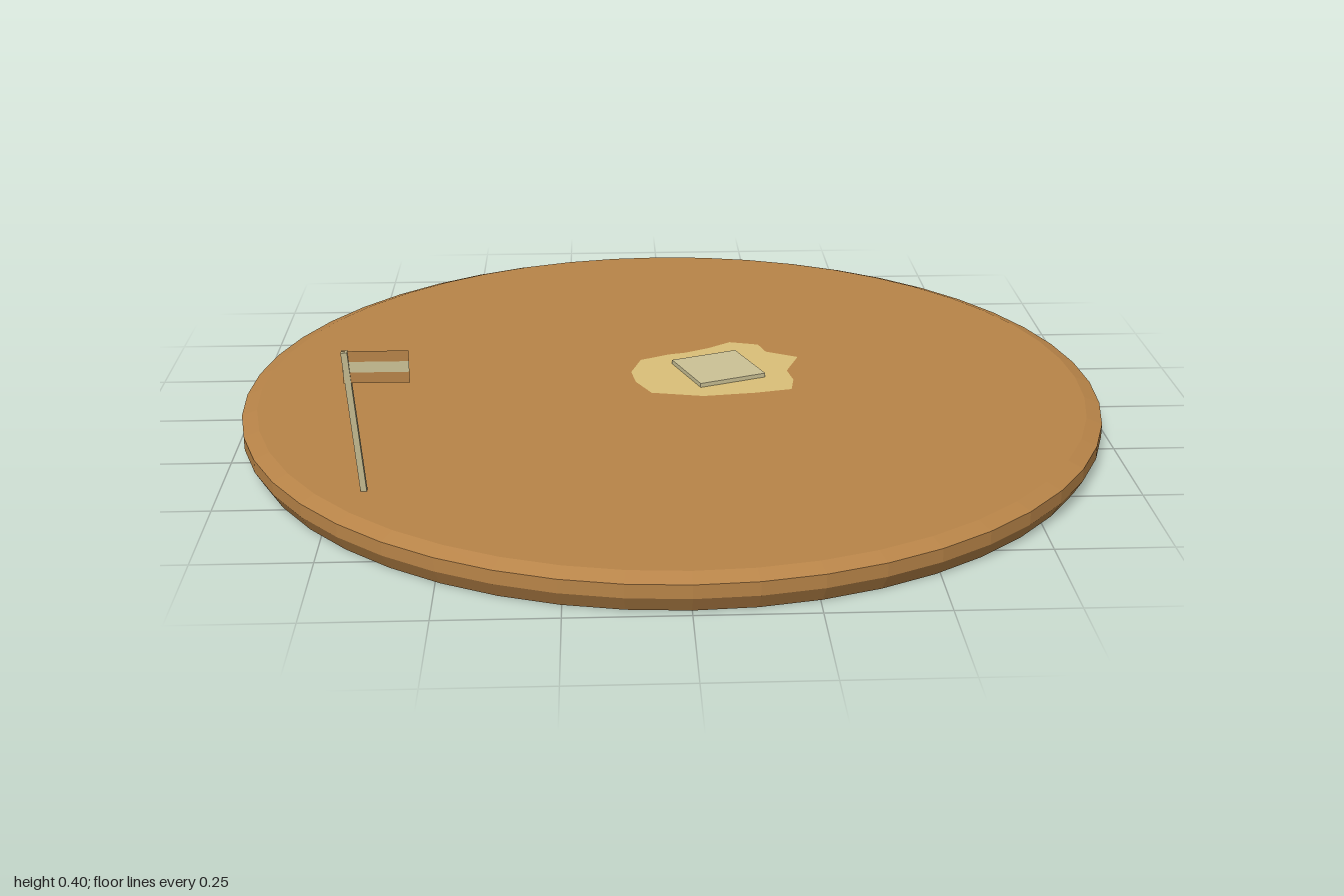
import * as THREE from 'three';

const paint = (name, color) =>
  Object.assign(new THREE.MeshStandardMaterial({ color, side: THREE.DoubleSide, flatShading: true }), { name });

export function createModel() {
  const earth = paint('earth brown', 0xb88448);
  const sand = paint('dry sand', 0xdbc078);
  const stone = paint('pale stone', 0xccc296);

  const model = new THREE.Group();
  const add = (name, geometry, material, parent = model) => {
    const mesh = new THREE.Mesh(geometry, material);
    mesh.name = name;
    parent.add(mesh);
    return mesh;
  };
  const top = 0.077;

  // Round ground shell with a bevelled rim, open underneath
  const profile = [[0.98, 0], [1, 0.035], [1, 0.065], [0.965, top], [0, top]];
  add('groundDisc', new THREE.LatheGeometry(profile.map(p => new THREE.Vector2(...p)), 48), earth);

  // Irregular sandy patch, outline as x, z
  const outline = [
    [0, -0.19], [0.04, -0.2], [0.1, -0.23], [0.155, -0.27], [0.225, -0.25], [0.24, -0.2],
    [0.315, -0.16], [0.28, -0.07], [0.29, -0.01], [0.28, 0.05], [0.19, 0.07], [0.07, 0.085],
    [-0.05, 0.06], [-0.085, -0.01], [-0.095, -0.075], [-0.07, -0.155],
  ];
  const patch = new THREE.ShapeGeometry(new THREE.Shape(outline.map(([x, z]) => new THREE.Vector2(x, -z))));
  patch.rotateX(-Math.PI / 2);
  add('sandPatch', patch, sand).position.y = top + 0.001;

  // Square stone slab lying on the patch
  const slab = add('stoneSlab', new THREE.BoxGeometry(0.169, 0.01, 0.169), stone);
  slab.position.set(0.115, 0.083, -0.078);
  slab.rotation.y = 0.37;

  // Leaning flag pole, its foot just through the ground
  const flag = new THREE.Group();
  flag.name = 'flag';
  model.add(flag);
  const foot = new THREE.Vector3(-0.663, 0.055, 0.572);
  const tip = new THREE.Vector3(-0.684, 0.396, 0.602);
  const lean = tip.clone().sub(foot);
  const pole = add('flagPole', new THREE.BoxGeometry(0.013, lean.length(), 0.013), stone, flag);
  pole.position.copy(foot).add(tip).multiplyScalar(0.5);
  pole.quaternion.setFromUnitVectors(new THREE.Vector3(0, 1, 0), lean.normalize());

  // Three flat cloth stripes
  const stripe = 0.023;
  [earth, stone, earth].forEach((material, i) => {
    const cloth = add('flagStripe' + (i + 1), new THREE.PlaneGeometry(0.134, stripe), material, flag);
    cloth.position.set(-0.622, 0.397 - stripe * (i + 0.5), 0.602);
  });

  return model;
}
